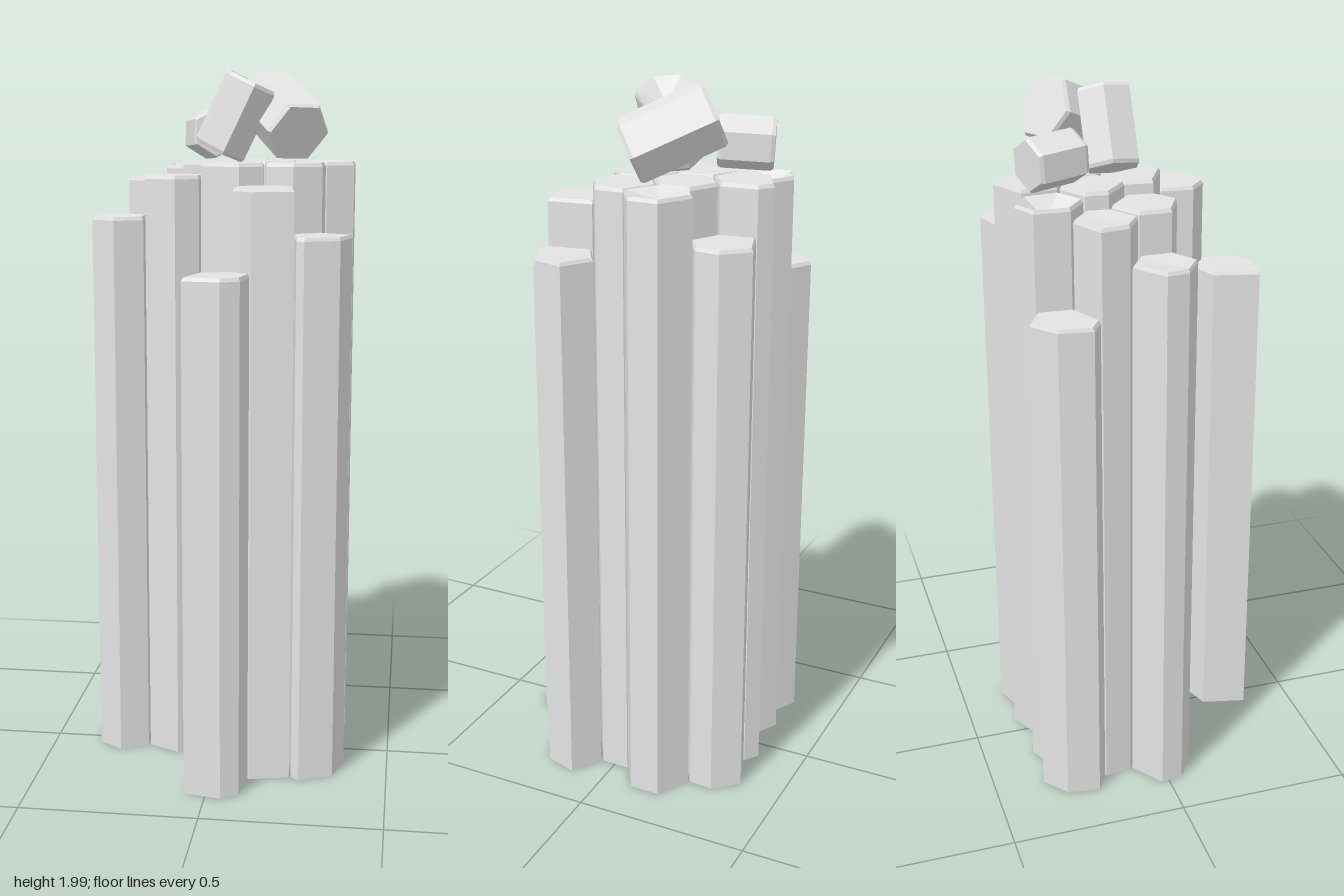
import * as THREE from 'three';

const stone = new THREE.MeshStandardMaterial({ color: 0xe3e3e3, flatShading: true, side: THREE.DoubleSide });
stone.name = 'pale grey stone';

// Column seeds: x, z, height, depth of the sunken top
const columns = [
  [-0.27, -0.265, 1.45, 0], [-0.115, -0.26, 1.72, 0.05], [0.03, -0.275, 1.735, 0], [0.19, -0.29, 1.6, 0],
  [-0.21, -0.135, 1.69, 0.006], [-0.04, -0.125, 1.735, 0], [0.117, -0.14, 1.735, 0], [0.287, -0.137, 1.735, 0.02],
  [-0.292, -0.005, 1.585, 0.006], [-0.137, -0.01, 1.7, 0], [0.037, 0.01, 1.735, 0], [0.207, -0.005, 1.735, 0],
  [0.142, 0.156, 1.675, 0], [0.291, 0.136, 1.545, 0], [0.025, 0.292, 1.45, 0],
];

// Empty cells around the cluster, which shape its outer faces
const gaps = [
  [-0.19, -0.42], [-0.36, -0.377], [-0.414, -0.284], [-0.367, -0.107], [-0.448, 0.018],
  [-0.381, 0.128], [-0.21, 0.139], [-0.028, 0.14], [-0.115, 0.259], [-0.004, 0.452],
  [0.111, 0.436], [0.179, 0.314], [0.351, 0.273], [0.427, 0.178], [0.374, 0.003],
  [0.453, -0.137], [0.366, -0.275], [0.31, -0.395], [0.142, -0.432], [-0.034, -0.405],
];

// Broken pieces lying on top: two axis ends, radius, roll, depth of the sunken upper end
const blocks = [
  [[-0.087, 1.808, -0.308], [-0.035, 1.815, -0.166], 0.073, 0.2, 0],
  [[0.216, 1.815, -0.02], [0.105, 1.913, -0.215], 0.094, 0.5, 0],
  [[-0.015, 1.765, -0.057], [0.078, 1.958, -0.057], 0.08, 0.25, 0.05],
];

// Plan of one column: the area nearest to its seed, less half a joint on each side
function cellOutline(seed) {
  let outline = [[-1, -1], [1, -1], [1, 1], [-1, 1]];
  for (const other of [...columns, ...gaps]) {
    if (other === seed) continue;
    const dx = other[0] - seed[0], dz = other[1] - seed[1];
    const d = Math.hypot(dx, dz);
    const beyond = (p) => ((p[0] - seed[0]) * dx + (p[1] - seed[1]) * dz) / d - (d / 2 - 0.003);
    const clipped = [];
    outline.forEach((p, i) => {
      const q = outline[(i + 1) % outline.length];
      const a = beyond(p), b = beyond(q);
      if (a <= 0) clipped.push(p);
      if ((a <= 0) !== (b <= 0)) {
        const t = a / (a - b);
        clipped.push([p[0] + (q[0] - p[0]) * t, p[1] + (q[1] - p[1]) * t]);
      }
    });
    outline = clipped;
  }
  return outline;
}

// Flat-faced prism over a plan outline [x, z]; rings are [height, inset scale].
// The top is a fan whose centre may be sunken; the bottom is closed only on request
function prism(outline, rings, topY, closeBottom) {
  const n = outline.length;
  const cx = outline.reduce((s, p) => s + p[0], 0) / n;
  const cz = outline.reduce((s, p) => s + p[1], 0) / n;
  const pos = [];
  const at = ([y, s], i) => {
    const p = outline[i % n];
    return [cx + (p[0] - cx) * s, y, cz + (p[1] - cz) * s];
  };
  const tri = (a, b, c) => pos.push(...a, ...b, ...c);
  const last = rings[rings.length - 1];
  for (let i = 0; i < n; i++) {
    for (let r = 0; r < rings.length - 1; r++) {
      const a = at(rings[r], i), b = at(rings[r], i + 1);
      const c = at(rings[r + 1], i + 1), d = at(rings[r + 1], i);
      tri(a, c, b);
      tri(a, d, c);
    }
    tri([cx, topY, cz], at(last, i + 1), at(last, i));
    if (closeBottom) tri([cx, rings[0][0], cz], at(rings[0], i), at(rings[0], i + 1));
  }
  const geo = new THREE.BufferGeometry();
  geo.setAttribute('position', new THREE.Float32BufferAttribute(pos, 3));
  geo.computeVertexNormals();
  return geo;
}

export function createModel() {
  const model = new THREE.Group();
  model.name = 'stoneColumns';

  // Standing columns, open below, with a narrow bevel round the top
  columns.forEach((seed, i) => {
    const [, , h, dip] = seed;
    const rings = [[0, 1], [h - 0.01, 1], [h, 0.94]];
    const mesh = new THREE.Mesh(prism(cellOutline(seed), rings, h - dip, false), stone);
    mesh.name = `column${i + 1}`;
    model.add(mesh);
  });

  // Fallen six-sided pieces, bevelled at both ends
  blocks.forEach(([from, to, radius, roll, dip], i) => {
    const a = new THREE.Vector3(...from), b = new THREE.Vector3(...to);
    const h = a.distanceTo(b) / 2;
    const outline = Array.from({ length: 6 }, (_, k) => {
      const t = roll + k * Math.PI / 3;
      return [radius * Math.cos(t), radius * Math.sin(t)];
    });
    const rings = [[-h, 0.93], [-h + 0.01, 1], [h - 0.01, 1], [h, 0.93]];
    const mesh = new THREE.Mesh(prism(outline, rings, h - dip, true), stone);
    mesh.name = `fallenBlock${i + 1}`;
    mesh.position.copy(a).add(b).multiplyScalar(0.5);
    mesh.quaternion.setFromUnitVectors(new THREE.Vector3(0, 1, 0), b.clone().sub(a).normalize());
    model.add(mesh);
  });

  return model;
}
